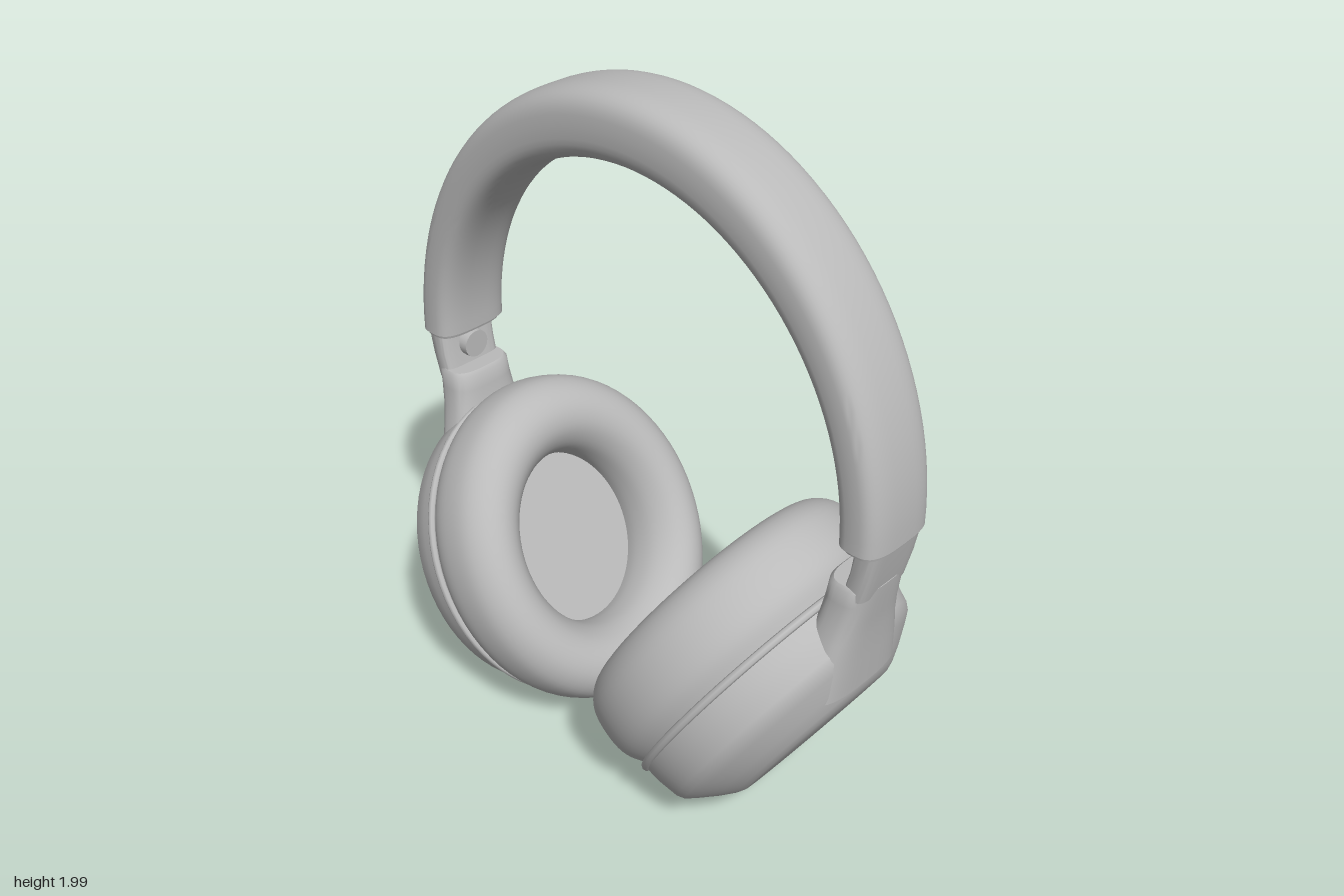
import * as THREE from 'three';
import { toCreasedNormals } from 'three/addons/utils/BufferGeometryUtils.js';

const V = (x, y, z = 0) => new THREE.Vector3(x, y, z);
const spow = (v, p) => Math.sign(v) * Math.abs(v) ** p;

// Skin over rounded-rectangle sections { c: centre, u, v: half axes }, closed at both ends
function loft(sections, power = 3, sides = 40) {
  const pos = [], idx = [];
  for (const { c, u, v } of sections) {
    for (let j = 0; j < sides; j++) {
      const a = (j / sides) * Math.PI * 2;
      const p = c.clone()
        .addScaledVector(u, spow(Math.cos(a), 2 / power))
        .addScaledVector(v, spow(Math.sin(a), 2 / power));
      pos.push(p.x, p.y, p.z);
    }
  }
  const last = sections.length - 1;
  for (let i = 0; i < last; i++) {
    for (let j = 0; j < sides; j++) {
      const k = (j + 1) % sides;
      const a = i * sides + j, b = i * sides + k;
      idx.push(a, b, b + sides, a, b + sides, a + sides);
    }
  }
  const start = pos.length / 3;
  for (const s of [sections[0], sections[last]]) pos.push(s.c.x, s.c.y, s.c.z);
  for (let j = 0; j < sides; j++) {
    const k = (j + 1) % sides;
    idx.push(start, k, j, start + 1, last * sides + j, last * sides + k);
  }
  const g = new THREE.BufferGeometry();
  g.setAttribute('position', new THREE.Float32BufferAttribute(pos, 3));
  g.setIndex(idx);
  return toCreasedNormals(g, 0.7);
}

// Upright section: height, centre x, half width, half depth
const level = ([y, x, hx, hz]) => ({ c: V(x, y), u: V(hx, 0), v: V(0, 0, -hz) });

// Turned part from [radius, height] points, optionally smoothed
function turned(points, smooth) {
  let pts = points.map(([r, y]) => new THREE.Vector2(r, y));
  if (smooth) pts = new THREE.SplineCurve(pts).getPoints(36);
  return toCreasedNormals(new THREE.LatheGeometry(pts, 72), 0.45);
}

export function createModel() {
  const model = new THREE.Group();
  model.name = 'headphones';
  const grey = new THREE.MeshStandardMaterial({ color: 0xbababa });
  grey.name = 'grey';
  const add = (parent, name, geometry) => {
    const mesh = new THREE.Mesh(geometry, grey);
    mesh.name = name;
    parent.add(mesh);
    return mesh;
  };

  // Padded headband, thickest at the crown
  const arch = [];
  for (let i = 0; i <= 64; i++) {
    const t = (i / 64) * Math.PI, c = Math.cos(t), s = Math.sin(t);
    const outer = V(0.832 * c, 1.08 + 0.92 * s);
    const inner = V(0.70 * c, 1.08 + 0.725 * s);
    arch.push({
      c: outer.clone().add(inner).multiplyScalar(0.5),
      u: outer.clone().sub(inner).multiplyScalar(0.5),
      v: V(0, 0, -0.123),
    });
  }
  add(model, 'headband', loft(arch, 3.2));

  const cupProfile = [
    [0.452, 0.135], [0.452, 0.15], [0.462, 0.16], [0.458, 0.2], [0.443, 0.262],
    [0.43, 0.282], [0.4, 0.302], [0.345, 0.335], [0.3, 0.358], [0.272, 0.367], [0, 0.367],
  ];
  const padProfile = [
    [0.262, 0.08], [0.258, 0.02], [0.275, -0.05], [0.32, -0.103], [0.38, -0.121],
    [0.44, -0.102], [0.482, -0.05], [0.494, 0.03], [0.485, 0.09], [0.455, 0.138],
  ];

  // One complete side, turned half round for the other
  for (const name of ['left', 'right']) {
    const side = new THREE.Group();
    side.name = name + 'Side';
    if (name === 'right') side.rotation.y = Math.PI;
    model.add(side);

    // Oval ear cup, tilted with its flat face outward
    const cup = new THREE.Group();
    cup.name = 'earCup';
    cup.position.set(0.3, 0.52, 0);
    cup.rotation.z = -Math.PI * 2 / 3;
    cup.scale.z = 0.875;
    side.add(cup);
    add(cup, 'housing', turned(cupProfile, false));
    add(cup, 'earPad', turned(padProfile, true));
    add(cup, 'speakerCover', turned([[0, 0.06], [0.28, 0.06]], false));
    const seam = add(cup, 'seamBead', new THREE.TorusGeometry(0.462, 0.012, 8, 72));
    seam.rotation.x = Math.PI / 2;
    seam.position.y = 0.148;

    // Flared socket growing out of the housing
    add(side, 'socket', loft([
      [0.60, 0.685, 0.075, 0.17], [0.70, 0.692, 0.075, 0.152], [0.78, 0.705, 0.068, 0.13],
      [0.84, 0.717, 0.064, 0.115], [0.90, 0.727, 0.064, 0.107], [0.945, 0.733, 0.064, 0.104],
      [0.955, 0.734, 0.056, 0.097],
    ].map(level), 3));

    // Slider arm with a rim under the band
    add(side, 'slider', loft([
      [0.92, 0.755, 0.035, 0.095], [1.0, 0.774, 0.034, 0.098], [1.1, 0.789, 0.036, 0.1],
    ].map(level), 5));
    add(side, 'bandRim', loft([
      [1.066, 0.768, 0.056, 0.112], [1.09, 0.767, 0.062, 0.118],
    ].map(level), 3.2));

    // Hinge pin on the inner face of the slider
    const pin = add(side, 'hingePin', new THREE.CylinderGeometry(0.042, 0.046, 0.06, 20));
    pin.rotation.z = Math.PI / 2;
    pin.position.set(0.745, 1.015, 0);
  }
  return model;
}
